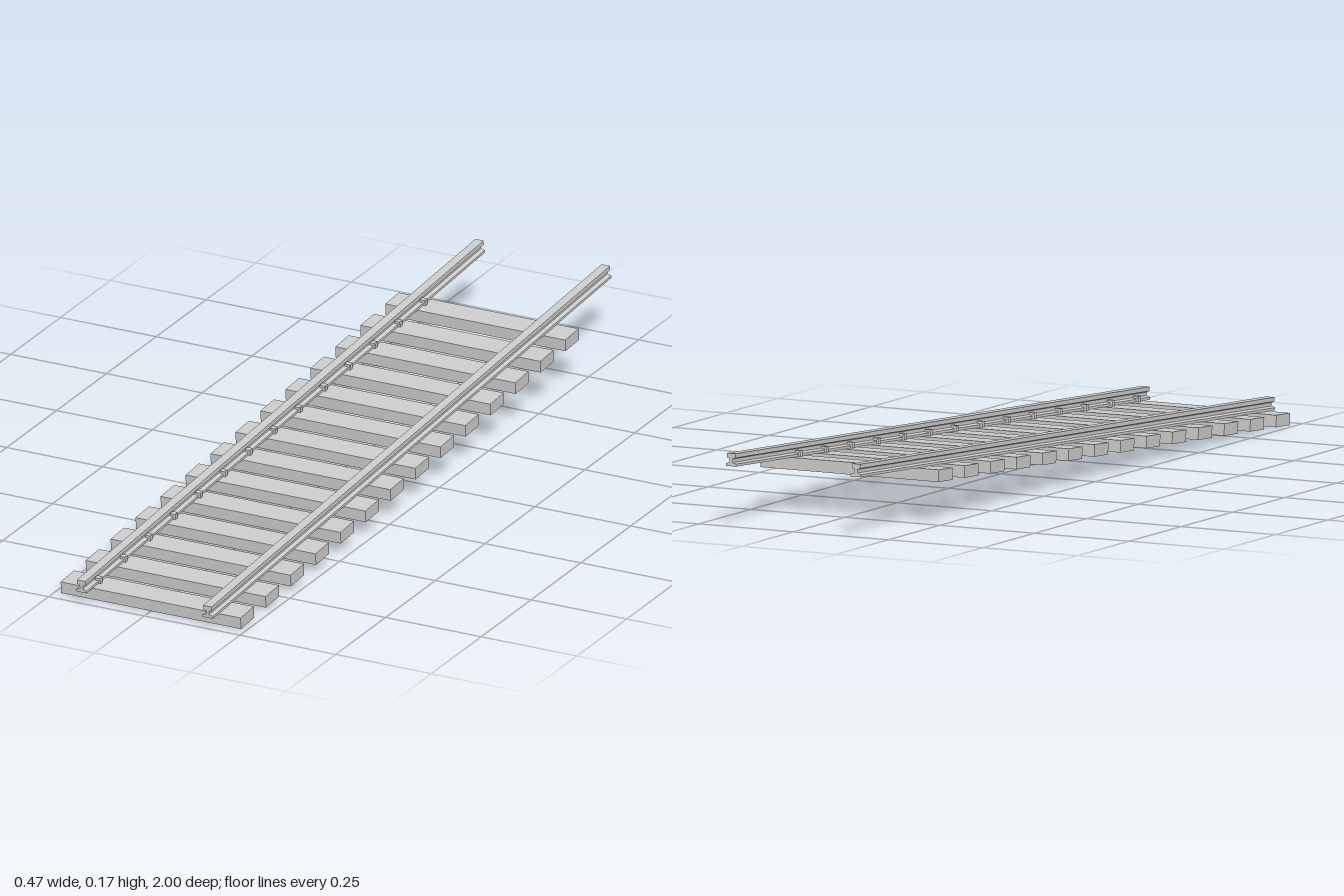
import * as THREE from 'three';

export function createModel() {
  const model = new THREE.Group();
  model.name = 'trackRamp';
  const mat = new THREE.MeshStandardMaterial({ color: 0xcccccc, flatShading: true });

  // The whole track leans as one piece; local y = 0 is the top of the sleepers
  const track = new THREE.Group();
  track.name = 'track';
  track.position.y = 0.0843;
  track.rotation.x = Math.atan(0.0575);
  model.add(track);

  const add = (name, geometry, x, y, z) => {
    const mesh = new THREE.Mesh(geometry, mat);
    mesh.name = name;
    mesh.position.set(x, y, z);
    track.add(mesh);
  };

  // Rail section: wide foot, thin web, thick head
  const half = [[0.0135, 0], [0.0135, 0.006], [0.004, 0.009], [0.004, 0.017],
    [0.011, 0.02], [0.011, 0.03]];
  const outline = [...half, ...half.map(([x, y]) => [-x, y]).reverse()];
  const railLength = 2.0016;
  const railGeo = new THREE.ExtrudeGeometry(
    new THREE.Shape(outline.map(([x, y]) => new THREE.Vector2(x, y))),
    { depth: railLength, bevelEnabled: false });
  railGeo.translate(0, 0, -railLength / 2);

  const sleeperGeo = new THREE.BoxGeometry(0.47, 0.0285, 0.067);
  const spikeGeo = new THREE.BoxGeometry(0.006, 0.012, 0.01);
  const spikeHeadGeo = new THREE.BoxGeometry(0.013, 0.006, 0.014);

  for (const side of [-1, 1]) {
    add(side > 0 ? 'leftRail' : 'rightRail', railGeo, side * 0.165, 0, -0.001);
  }

  // Sleepers, each with a spike on the inner side of both rails
  for (let i = 0; i < 14; i++) {
    const z = 0.936 - i * 0.1255;
    add('sleeper', sleeperGeo, 0, -0.01425, z);
    for (const side of [-1, 1]) {
      add('spike', spikeGeo, side * 0.1485, 0.006, z);
      add('spikeHead', spikeHeadGeo, side * 0.1525, 0.011, z);
    }
  }
  return model;
}
